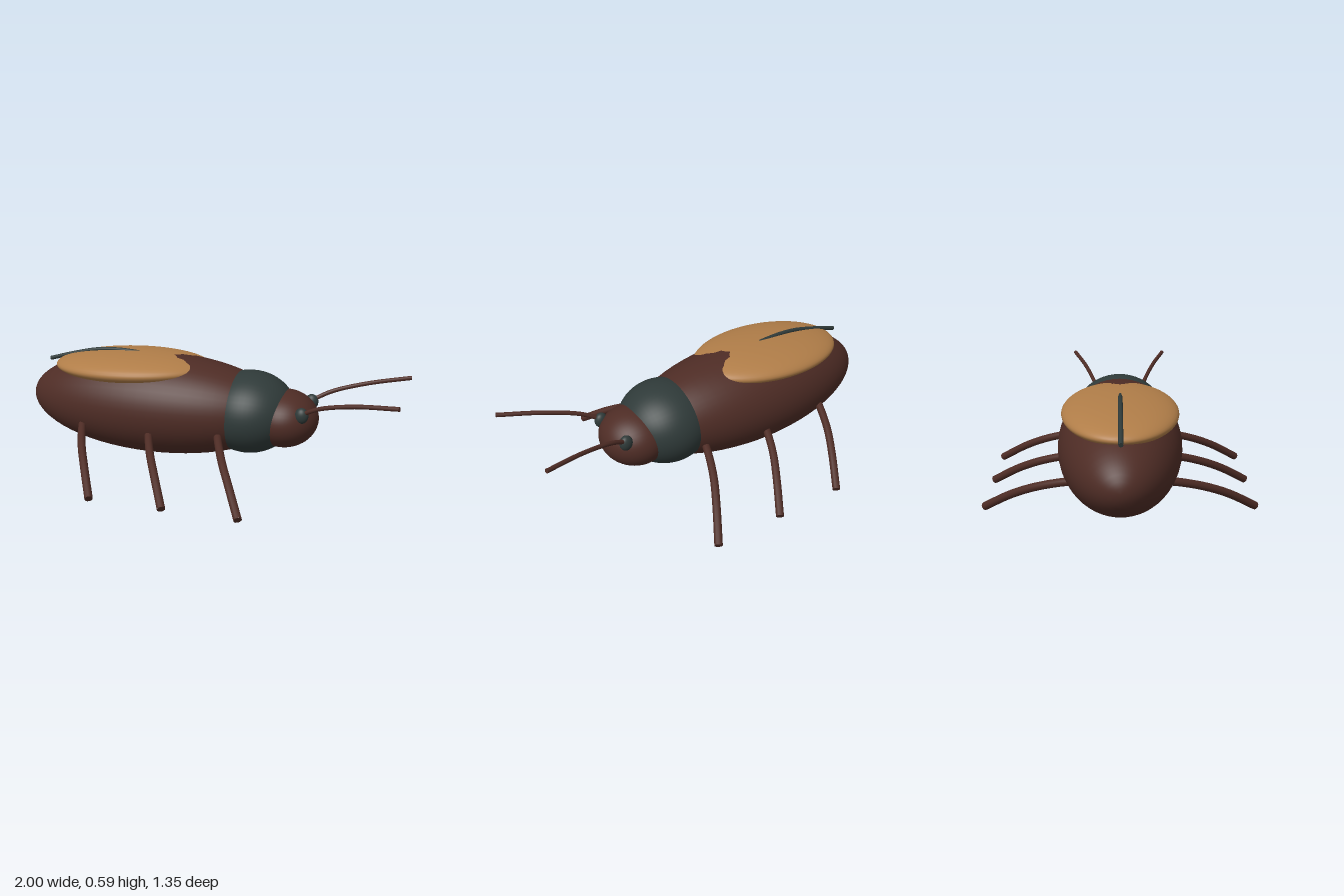
import * as THREE from 'three';

const brown = new THREE.MeshStandardMaterial({ color: 0x4e2c25 });
const gold = new THREE.MeshStandardMaterial({ color: 0xb07d48 });
const slate = new THREE.MeshStandardMaterial({ color: 0x2f3a39 });

// Smooth ellipsoid with its poles along the body axis (x)
function ellipsoid(name, material, center, radii) {
  const geometry = new THREE.SphereGeometry(1, 48, 32).rotateZ(-Math.PI / 2);
  geometry.scale(...radii);
  const mesh = new THREE.Mesh(geometry, material);
  mesh.name = name;
  mesh.position.set(...center);
  return mesh;
}

// Round rod along a smooth path, closed with a flat disc at each end
function rod(name, material, points, radius) {
  const group = new THREE.Group();
  group.name = name;
  const curve = new THREE.CatmullRomCurve3(points.map(p => new THREE.Vector3(...p)));
  group.add(new THREE.Mesh(new THREE.TubeGeometry(curve, 28, radius, 12), material));
  for (const t of [0, 1]) {
    const cap = new THREE.Mesh(new THREE.CircleGeometry(radius, 12), material);
    const outward = curve.getTangent(t).multiplyScalar(t ? 1 : -1);
    cap.position.copy(curve.getPoint(t));
    cap.quaternion.setFromUnitVectors(new THREE.Vector3(0, 0, 1), outward);
    group.add(cap);
  }
  return group;
}

export function createModel() {
  const beetle = new THREE.Group();
  beetle.name = 'beetle';

  // Body segments, head toward +x
  beetle.add(ellipsoid('abdomen', brown, [-0.297, 0.32, 0], [0.703, 0.265, 0.3]));
  beetle.add(ellipsoid('thorax', slate, [0.22, 0.317, 0], [0.24, 0.211, 0.24]));
  beetle.add(ellipsoid('head', brown, [0.4, 0.3, 0], [0.175, 0.146, 0.185]));

  // Wing cover: a flattened shell sunk into the back, with a dark seam on top
  const wingCover = ellipsoid('wingCover', gold, [-0.425, 0.512, 0], [0.428, 0.075, 0.275]);
  wingCover.rotation.z = 0.03;
  beetle.add(wingCover);
  beetle.add(rod('wingSeam', slate, [
    [-0.91, 0.505, 0], [-0.76, 0.547, 0], [-0.62, 0.577, 0], [-0.5, 0.584, 0], [-0.36, 0.576, 0],
  ], 0.011));

  for (const side of [1, -1]) {
    const label = side > 0 ? 'Front' : 'Back';
    beetle.add(ellipsoid('eye' + label, slate, [0.515, 0.36, 0.122 * side], [0.034, 0.04, 0.028]));
    beetle.add(rod('antenna' + label, brown, [
      [0.51, 0.365, 0.12 * side], [0.61, 0.415, 0.153 * side],
      [0.78, 0.459, 0.203 * side], [0.995, 0.49, 0.27 * side],
    ], 0.011));

    // Three legs per side, splayed outward and forward
    for (let i = 0; i < 3; i++) {
      const x = -0.62 + i * 0.37;
      beetle.add(rod('leg' + label + (i + 1), brown, [
        [x - 0.02, 0.247, 0.18 * side], [x + 0.015, 0.226, 0.27 * side],
        [x + 0.075, 0.18, 0.4 * side], [x + 0.145, 0.117, 0.52 * side],
        [x + 0.233, 0.02, 0.66 * side],
      ], 0.02));
    }
  }
  return beetle;
}
